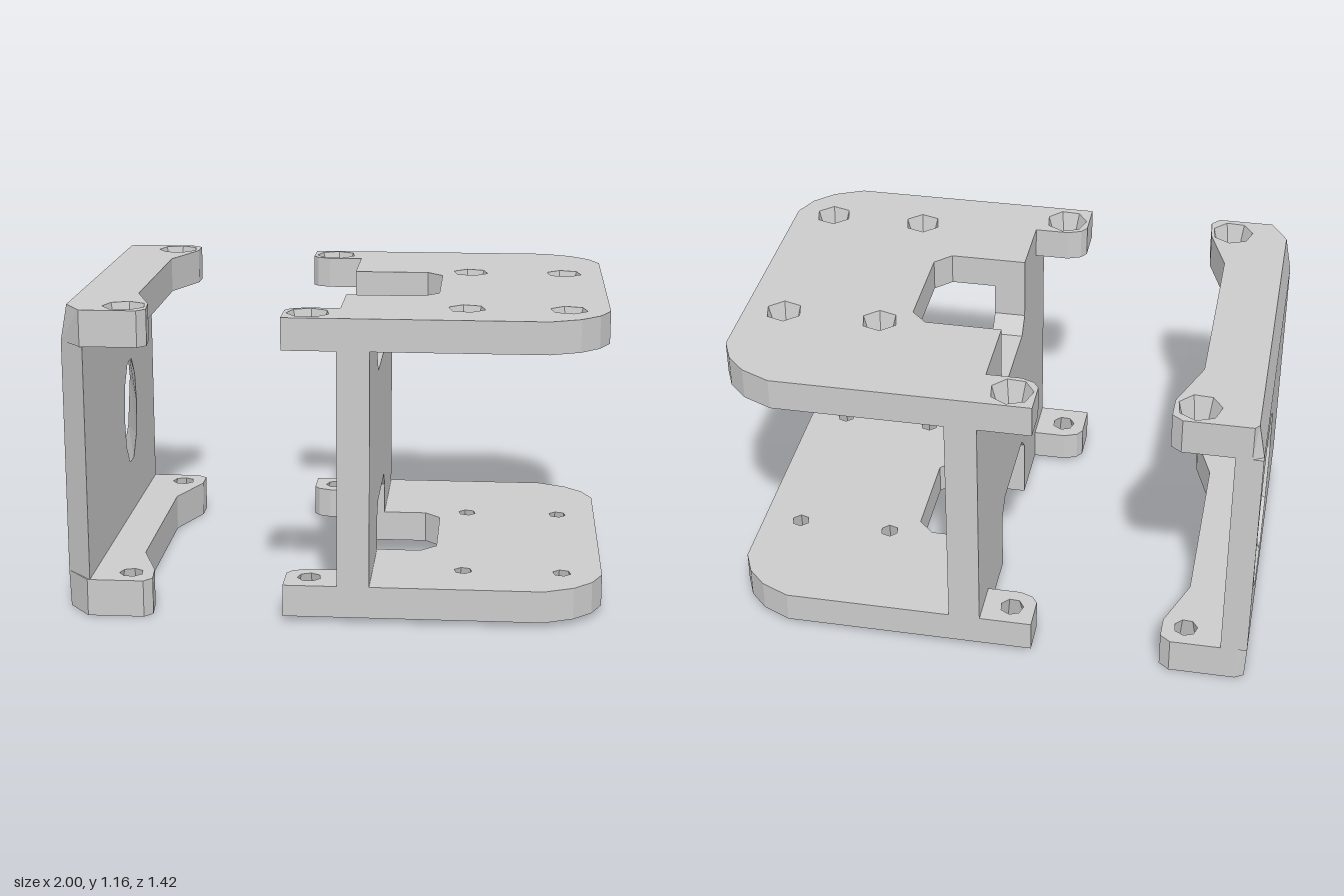
import * as THREE from 'three';

const material = new THREE.MeshStandardMaterial({ color: 0xcccccc, flatShading: true });

// Solid between two levels; each loop is a pair [low, high] of equal point counts,
// the first loop being the outline and the rest tapered holes.
function slab(loops, h0, h1) {
  const pos = [];
  const pairs = loops.map(([low, high], i) => {
    const pair = [low, high].map(l => l.map(([u, v]) => new THREE.Vector2(u, v)));
    const clockwise = THREE.ShapeUtils.isClockWise(pair[1]);
    if (clockwise !== (i > 0)) pair.forEach(l => l.reverse());
    return pair;
  });
  const put = (p, h) => pos.push(p.x, p.y, h);
  // Flat faces
  [h0, h1].forEach((h, side) => {
    const rings = pairs.map(p => p[side]);
    const points = rings.flat();
    for (const [a, b, c] of THREE.ShapeUtils.triangulateShape(rings[0], rings.slice(1))) {
      (side ? [a, b, c] : [c, b, a]).forEach(k => put(points[k], h));
    }
  });
  // Edge walls
  for (const [low, high] of pairs) {
    low.forEach((a, i) => {
      const j = (i + 1) % low.length;
      put(a, h0); put(low[j], h0); put(high[j], h1);
      put(a, h0); put(high[j], h1); put(high[i], h1);
    });
  }
  const geo = new THREE.BufferGeometry();
  geo.setAttribute('position', new THREE.Float32BufferAttribute(pos, 3));
  geo.computeVertexNormals();
  return geo;
}

const ring = (cu, cv, ru, rv, n, turn = 0) => Array.from({ length: n }, (_, i) => {
  const a = turn + i / n * Math.PI * 2;
  return [cu + ru * Math.cos(a), cv + rv * Math.sin(a)];
});
const same = loop => [loop, loop];
const flipV = loop => loop.map(([x, z]) => [x, -z]);

// Countersunk hole, wide on the outer face of an upper or lower plate
function screwHole([x, z, wide, narrow, n], upper) {
  const w = ring(x, z, wide, wide, n, 0.3), s = ring(x, z, narrow, narrow, n, 0.3);
  return upper ? [s, w] : [w, s];
}

function add(group, name, geo) {
  const mesh = new THREE.Mesh(geo, material);
  mesh.name = name;
  group.add(mesh);
}

// Horizontal plate from [x, z] loops
const floorPlate = (loops, y0, y1) =>
  slab(loops.map(p => p.map(flipV)), y0, y1).rotateX(-Math.PI / 2);
// Upright plate from [z, y] loops
const wallPlate = (loops, x0, x1) =>
  slab(loops.map(p => p.map(l => l.map(([z, y]) => [-z, y]))), x0, x1).rotateY(Math.PI / 2);

function createBracket() {
  const g = new THREE.Group();
  g.name = 'bracket';
  const outline = [
    [-0.18, -0.71], [0.78, -0.71], [0.89, -0.66], [0.96, -0.59], [1, -0.5],
    [1, 0.5], [0.96, 0.59], [0.89, 0.66], [0.78, 0.71], [-0.18, 0.71],
    [-0.18, 0.57], [-0.16, 0.54], [-0.11, 0.52], [0.02, 0.52],
    [0.02, 0.26], [0.31, 0.26], [0.37, 0.2], [0.37, -0.17], [0.31, -0.23], [0.02, -0.23],
    [0.02, -0.53], [-0.11, -0.53], [-0.16, -0.55], [-0.18, -0.58],
  ];
  const holes = [[-0.09, -0.62, 0.08, 0.045, 7], [-0.09, 0.61, 0.08, 0.045, 7]];
  for (const x of [0.48, 0.85]) for (const z of [-0.25, 0.49]) holes.push([x, z, 0.07, 0.035, 6]);
  for (const upper of [false, true]) {
    const y = upper ? 1.025 : 0.02;
    add(g, upper ? 'upperPlate' : 'lowerPlate',
      floorPlate([same(outline), ...holes.map(h => screwHole(h, upper))], y, y + 0.12));
  }
  // Web with notches that continue the plate cut-outs
  add(g, 'web', wallPlate([same([
    [-0.71, 0.14], [-0.23, 0.14], [-0.23, 0.26], [-0.17, 0.32], [0.2, 0.32], [0.26, 0.26],
    [0.26, 0.14], [0.71, 0.14], [0.71, 1.025], [0.26, 1.025], [0.26, 0.9], [0.2, 0.84],
    [-0.17, 0.84], [-0.23, 0.9], [-0.23, 1.025], [-0.71, 1.025],
  ])], 0.02, 0.14));
  return g;
}

function createClamp() {
  const g = new THREE.Group();
  g.name = 'clamp';
  const flange = edge => [
    [edge, -0.69], [-0.96, -0.71], [-0.71, -0.71], [-0.67, -0.68], [-0.67, -0.59], [-0.75, -0.38],
    [-0.75, 0.37], [-0.68, 0.57], [-0.67, 0.67], [-0.7, 0.705], [-0.91, 0.705], [edge, 0.6],
  ];
  const holes = [[-0.76, -0.62, 0.08, 0.045, 7], [-0.76, 0.61, 0.08, 0.045, 7]];
  const level = (upper, y0, y1, low, high) =>
    floorPlate([[flange(low), flange(high)], ...holes.map(h => screwHole(h, upper))], y0, y1);
  add(g, 'lowerFlange', level(false, 0, 0.14, -0.995, -1));
  add(g, 'upperFlange', level(true, 1.025, 1.16, -1, -0.975));
  // Back wall: chamfered front corner and a large funnel-shaped opening
  const rect = front => [[-0.71, 0.14], [front, 0.14], [front, 1.025], [-0.71, 1.025]];
  add(g, 'backWall', wallPlate([
    [rect(0.6), rect(0.705)],
    [ring(-0.355, 0.585, 0.34, 0.34, 10), ring(-0.18, 0.565, 0.13, 0.22, 10)],
  ], -1, -0.9));
  return g;
}

export function createModel() {
  const model = new THREE.Group();
  model.name = 'mountBracket';
  model.add(createBracket(), createClamp());
  return model;
}
